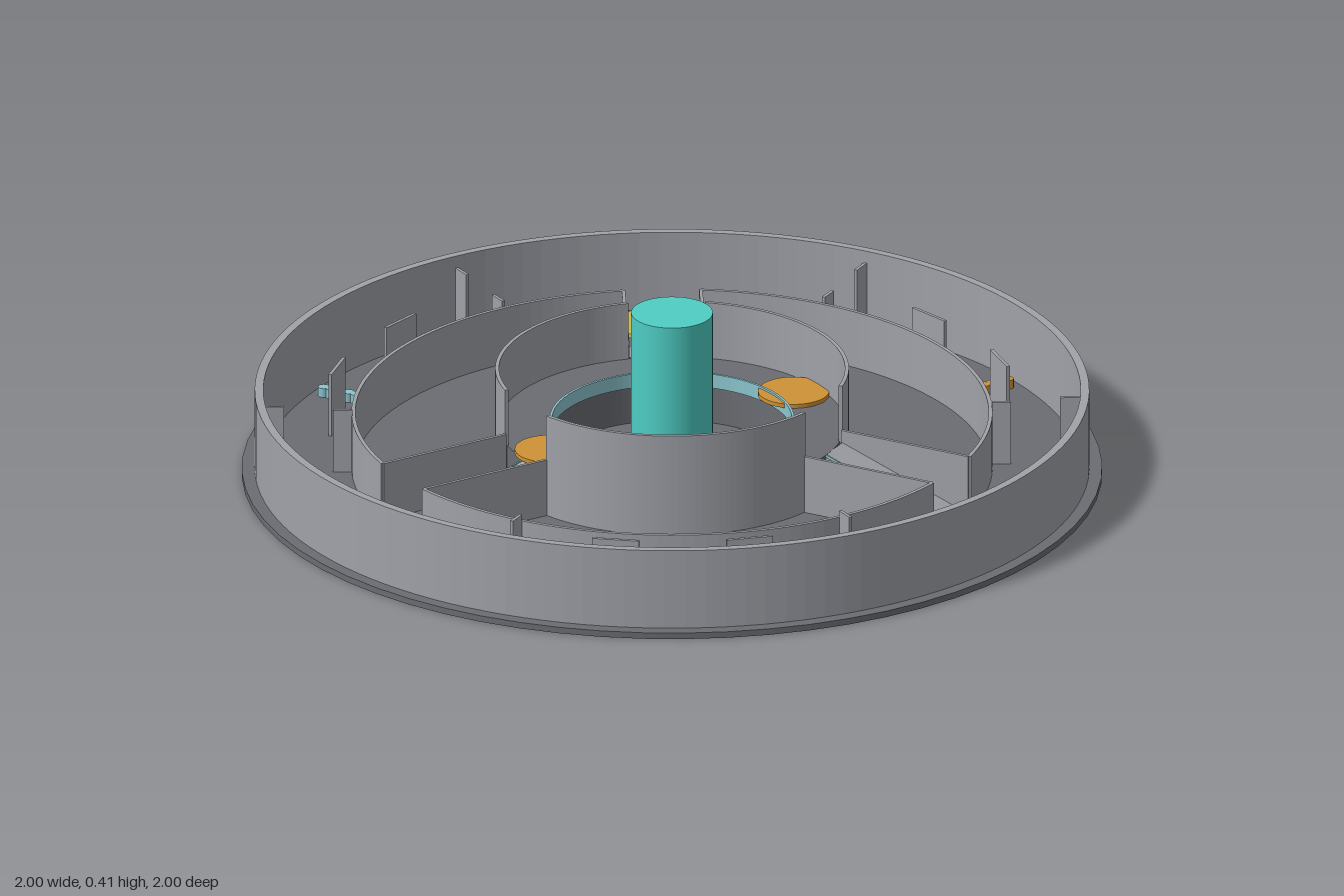
import * as THREE from 'three';

const mat = (name, color) => Object.assign(new THREE.MeshStandardMaterial({ color }), { name });
const rad = THREE.MathUtils.degToRad;

export function createModel() {
  const model = new THREE.Group();
  model.name = 'roundArena';
  const floor = mat('floorGrey', 0x6a6d72);
  const wall = mat('wallGrey', 0xa0a2a9);
  const teal = mat('teal', 0x4ecdc4);
  const pale = mat('paleCyan', 0x8cc5ce);
  const orange = mat('orange', 0xcf9236);
  const yellow = mat('yellow', 0xcbb94c);
  const FLOOR = 0.015, DECK = 0.125;

  function add(parent, name, geometry, material, x = 0, y = 0, z = 0) {
    const mesh = new THREE.Mesh(geometry, material);
    mesh.name = name;
    mesh.position.set(x, y, z);
    parent.add(mesh);
    return mesh;
  }
  // Box standing on y
  const box = (parent, name, material, w, h, d, x, y, z) =>
    add(parent, name, new THREE.BoxGeometry(w, h, d), material, x, y + h / 2, z);
  // Upright cylinder standing on y
  const disc = (parent, name, material, r, h, x, y, z, n = 40) =>
    add(parent, name, new THREE.CylinderGeometry(r, r, h, n), material, x, y + h / 2, z);
  // Full ring extruded upwards
  function ring(name, material, r0, r1, y0, y1) {
    const s = new THREE.Shape().absarc(0, 0, r1, 0, Math.PI * 2, false);
    s.holes.push(new THREE.Path().absarc(0, 0, r0, 0, Math.PI * 2, true));
    const g = new THREE.ExtrudeGeometry(s, { depth: y1 - y0, bevelEnabled: false, curveSegments: 64 });
    return add(model, name, g.rotateX(-Math.PI / 2), material, 0, y0, 0);
  }
  // Curved wall between two angles in degrees
  function arc(name, material, r0, r1, y0, y1, a0, a1) {
    const s = new THREE.Shape();
    s.absarc(0, 0, r1, rad(a0), rad(a1), false);
    s.absarc(0, 0, r0, rad(a1), rad(a0), true);
    const g = new THREE.ExtrudeGeometry(s, { depth: y1 - y0, bevelEnabled: false, curveSegments: 24 });
    return add(model, name, g.rotateX(-Math.PI / 2), material, 0, y0, 0);
  }
  // Group whose +x axis points outwards at the given angle
  function spoke(name, degrees) {
    const g = new THREE.Group();
    g.name = name;
    g.rotation.y = rad(degrees);
    model.add(g);
    return g;
  }

  // Base, outer wall, raised inner deck with a central pit
  disc(model, 'base', floor, 1, FLOOR, 0, 0, 0, 64);
  ring('outerWall', wall, 0.95, 0.97, FLOOR, 0.21);
  ring('innerDeck', floor, 0.283, 0.405, FLOOR, DECK);
  ring('pitRail', pale, 0.278, 0.284, 0.105, 0.14);

  // Central column with a broken ring at its foot
  disc(model, 'centralColumn', teal, 0.095, 0.405 - FLOOR, 0, FLOOR, 0, 40);
  for (let i = 0; i < 4; i++)
    arc('columnFootRing', pale, 0.126, 0.131, FLOOR, 0.024, i * 90 + 12, i * 90 + 78);

  // Three corridors: ring walls between them, side walls, ramp and yellow pad
  for (const a of [90, 210, 330]) {
    arc('innerWall', wall, 0.402, 0.411, FLOOR, 0.265, a + 12.8, a + 107.2);
    arc('middleWall', wall, 0.736, 0.745, FLOOR, 0.155, a + 7, a + 113);

    const s = spoke('corridor', a);
    for (const side of [-1, 1])
      box(s, 'corridorWall', wall, 0.335, 0.155 - FLOOR, 0.008, 0.567, FLOOR, side * 0.09);
    const profile = new THREE.Shape([[0.403, FLOOR], [0.725, FLOOR], [0.403, DECK]]
      .map(([x, y]) => new THREE.Vector2(x, y)));
    add(s, 'ramp', new THREE.ExtrudeGeometry(profile, { depth: 0.083, bevelEnabled: false }),
      wall, 0, 0, -0.086);
    // Thin strip along the open edge of the ramp
    const strip = box(s, 'rampEdge', pale, 0.335, 0.006, 0.004, 0.564, 0.067, -0.001);
    strip.rotation.z = -Math.atan2(DECK - FLOOR, 0.322);

    disc(s, 'yellowPad', yellow, 0.099, 0.01, 0.85, FLOOR, 0);
    for (const side of [-1, 1]) {
      const m = box(s, 'padMarker', pale, 0.06, 0.03, 0.012, 0.832, FLOOR, side * 0.132);
      m.rotation.y = -side * rad(9);
    }
  }

  // Short fins on the outer and middle walls
  for (let i = 0; i < 6; i++) {
    const s = spoke('finPair', i * 60);
    box(s, 'outerFin', wall, 0.05, 0.165, 0.008, 0.927, FLOOR, 0);
    box(s, 'middleFin', wall, 0.045, 0.155, 0.008, 0.766, FLOOR, 0);
  }

  // Coloured bead rows, each between two upright screens
  [[30, orange], [150, pale], [270, teal]].forEach(([a, colour]) => {
    const s = spoke('gate', a);
    for (let i = 0; i < 8; i++)
      disc(s, 'bead', colour, 0.014, 0.022, 0.768 + i * 0.0215, FLOOR, 0, 12);
    for (const side of [-1, 1]) {
      const t = side * rad(11);
      const p = box(s, 'screen', wall, 0.008, 0.155, 0.11,
        0.815 * Math.cos(t), FLOOR, 0.815 * Math.sin(t));
      p.rotation.y = -t;
    }
  });

  // Orange pads: one in the pit, two on the deck
  disc(model, 'pitPad', orange, 0.085, 0.01, 0, FLOOR, 0.222);
  disc(model, 'deckPad', orange, 0.083, 0.01, 0.288, DECK, -0.166);
  disc(model, 'deckPad', orange, 0.083, 0.01, -0.288, DECK, 0.166);

  // Small marker in the pit and small block on the deck
  add(model, 'pitMarker', new THREE.SphereGeometry(0.012, 12, 8), orange, 0, 0.027, -0.197);
  box(model, 'deckBlock', wall, 0.028, 0.03, 0.028, 0, DECK, 0.333);
  box(model, 'deckBlockTop', floor, 0.022, 0.003, 0.022, 0, DECK + 0.03, 0.333);

  return model;
}
